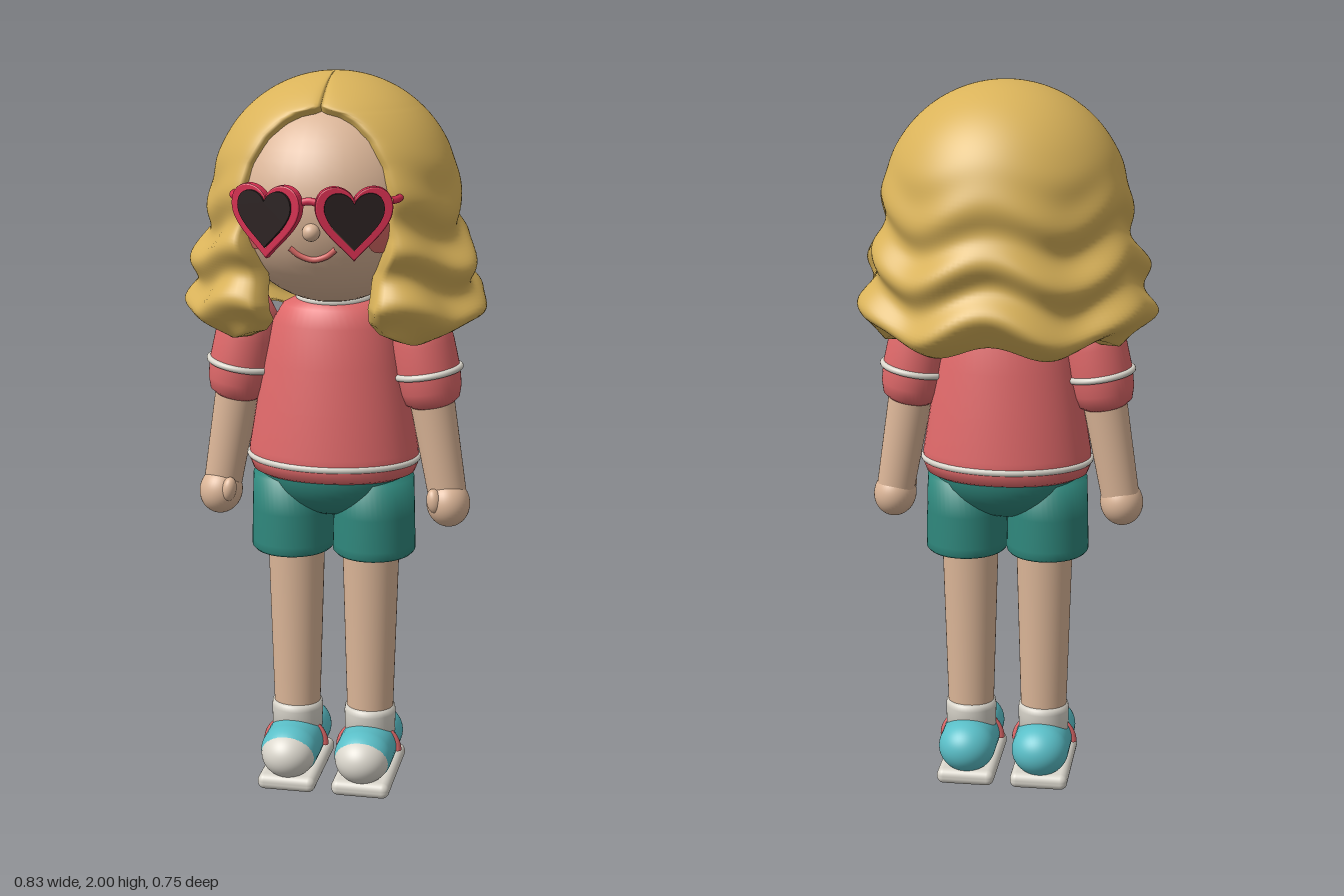
import * as THREE from 'three';
import { RoundedBoxGeometry } from 'three/addons/geometries/RoundedBoxGeometry.js';

const mat = (name, color, side = THREE.FrontSide) => {
  const m = new THREE.MeshStandardMaterial({ color, side });
  m.name = name;
  return m;
};

export function createModel() {
  const skin = mat('skin', 0xdcb698), hairMat = mat('hair', 0xdab35a, THREE.DoubleSide);
  const coral = mat('coral', 0xe0696a), green = mat('green', 0x2f877c);
  const white = mat('offWhite', 0xdad6cc), aqua = mat('aqua', 0x5abfc8);
  const red = mat('frameRed', 0xd93052), black = mat('lensBlack', 0x2a2020);
  const blush = mat('blush', 0xdb6a66);
  const model = new THREE.Group();
  model.name = 'character';

  const add = (parent, name, geo, material, pos = [0, 0, 0], scale = [1, 1, 1]) => {
    const m = new THREE.Mesh(geo, material);
    m.name = name;
    m.position.set(...pos);
    m.scale.set(...scale);
    parent.add(m);
    return m;
  };
  const lathe = (pts) => new THREE.LatheGeometry(pts.map((p) => new THREE.Vector2(...p)), 48);
  const ball = (r = 1) => new THREE.SphereGeometry(r, 40, 28);
  const ring = (r, tube) => new THREE.TorusGeometry(r, tube, 12, 56).rotateX(Math.PI / 2);
  const tube = (pts, r) => new THREE.TubeGeometry(
    new THREE.CatmullRomCurve3(pts.map((p) => new THREE.Vector3(...p))), 24, r, 10);

  // Head and face
  const HY = 1.67, HZ = 0.045, HR = 0.28;
  const faceZ = (x, y) => HZ + Math.sqrt(HR * HR - x * x - (y - HY) ** 2);
  add(model, 'head', ball(HR), skin, [0, HY, HZ]);
  add(model, 'nose', ball(0.023), skin, [0, 1.62, 0.325]);
  const smile = [-0.06, -0.035, 0, 0.035, 0.06].map((x) => {
    const y = 1.545 + 0.03 * (x / 0.06) ** 2;
    return [x, y, faceZ(x, y)];
  });
  add(model, 'mouth', tube(smile, 0.008), blush);
  for (const s of [-1, 1]) {
    const cheek = add(model, 'cheek',
      new THREE.SphereGeometry(HR + 0.003, 28, 6, 0, Math.PI * 2, 0, 0.15), blush, [0, HY, HZ]);
    const dir = new THREE.Vector3(s * 0.172, -0.07, faceZ(0.172, 1.6) - HZ).normalize();
    cheek.quaternion.setFromUnitVectors(new THREE.Vector3(0, 1, 0), dir);
  }

  add(model, 'hair', hairGeometry(), hairMat);

  // Heart sunglasses
  const heart = (k, Type = THREE.Shape) => {
    const h = new Type();
    h.moveTo(0, -0.095 * k);
    h.bezierCurveTo(-0.04 * k, -0.05 * k, -0.098 * k, -0.01 * k, -0.098 * k, 0.04 * k);
    h.bezierCurveTo(-0.098 * k, 0.105 * k, -0.02 * k, 0.105 * k, 0, 0.055 * k);
    h.bezierCurveTo(0.02 * k, 0.105 * k, 0.098 * k, 0.105 * k, 0.098 * k, 0.04 * k);
    h.bezierCurveTo(0.098 * k, -0.01 * k, 0.04 * k, -0.05 * k, 0, -0.095 * k);
    return h;
  };
  const glasses = new THREE.Group();
  glasses.name = 'sunglasses';
  model.add(glasses);
  for (const s of [-1, 1]) {
    const eye = new THREE.Group();
    eye.name = 'heartEyepiece';
    eye.position.set(s * 0.112, 1.65, 0.33);
    eye.rotation.y = s * 0.28;
    glasses.add(eye);
    const rim = heart(0.97);
    rim.holes.push(heart(0.74, THREE.Path));
    add(eye, 'heartFrame', new THREE.ExtrudeGeometry(rim, { depth: 0.016, curveSegments: 16,
      bevelThickness: 0.005, bevelSize: 0.004, bevelSegments: 2 }), red, [0, 0, -0.008]);
    add(eye, 'heartLens', new THREE.ExtrudeGeometry(heart(0.78), { depth: 0.024,
      curveSegments: 16, bevelEnabled: false }), black, [0, 0.006, -0.004]);
    add(glasses, 'temple', tube([[s * 0.2, 1.705, 0.305], [s * 0.214, 1.705, 0.28],
      [s * 0.212, 1.705, 0.2]], 0.01), red);
  }
  add(glasses, 'bridge', tube([[-0.035, 1.695, 0.347], [0, 1.703, 0.345],
    [0.035, 1.695, 0.347]], 0.01), red);

  // Torso
  const Z = 0.028;
  add(model, 'neck', new THREE.CylinderGeometry(0.08, 0.08, 0.12, 32), skin, [0, 1.4, Z]);
  add(model, 'shirt', lathe([[0, 0.905], [0.2, 0.905], [0.226, 0.917], [0.237, 0.945],
    [0.235, 0.98], [0.215, 1.1], [0.193, 1.22], [0.168, 1.33], [0.14, 1.377],
    [0.1, 1.398], [0, 1.4]]), coral, [0, 0, Z], [1, 1, 0.75]);
  add(model, 'hemStripe', ring(0.234, 0.009), white, [0, 0.955, Z], [1, 1, 0.75]);
  add(model, 'collar', ring(0.092, 0.012), white, [0, 1.395, Z], [1, 1, 0.85]);
  add(model, 'shortsSeat', ball(), green, [0, 0.93, Z], [0.205, 0.145, 0.163]);

  for (const s of [-1, 1]) {
    // Arm
    const arm = new THREE.Group();
    arm.name = s > 0 ? 'leftArm' : 'rightArm';
    arm.position.set(s * 0.235, 1.34, Z);
    arm.rotation.z = s * 0.17;
    model.add(arm);
    add(arm, 'sleeve', lathe([[0, -0.235], [0.058, -0.235], [0.076, -0.222], [0.086, -0.19],
      [0.09, -0.14], [0.086, -0.06], [0.077, 0.01], [0.045, 0.055], [0, 0.07]]), coral);
    add(arm, 'sleeveStripe', ring(0.09, 0.009), white, [0, -0.14, 0]);
    add(arm, 'forearm', new THREE.CylinderGeometry(0.062, 0.053, 0.3, 36), skin,
      [0, -0.35, 0], [1, 1, 0.92]);
    add(arm, 'hand', ball(), skin, [0, -0.515, 0.008], [0.06, 0.066, 0.066]);
    add(arm, 'thumb', ball(), skin, [-s * 0.03, -0.495, 0.05], [0.021, 0.035, 0.024]);

    // Leg
    const leg = new THREE.Group();
    leg.name = s > 0 ? 'leftLeg' : 'rightLeg';
    leg.position.set(s * 0.106, 0, 0.033);
    model.add(leg);
    add(leg, 'shortsLeg', lathe([[0, 0.682], [0.108, 0.682], [0.115, 0.69], [0.115, 0.71],
      [0.113, 0.8], [0.11, 0.9], [0, 0.93]]), green, [s * 0.009, 0, 0], [1, 1, 1.06]);
    add(leg, 'shin', new THREE.CylinderGeometry(0.081, 0.065, 0.56, 40), skin, [0, 0.46, 0],
      [1, 1, 0.94]);
    add(leg, 'sock', lathe([[0, 0.08], [0.07, 0.08], [0.073, 0.2], [0.071, 0.215],
      [0.06, 0.22], [0, 0.22]]), white);

    // Shoe
    add(leg, 'shoe', new THREE.CapsuleGeometry(0.08, 0.186, 16, 36).rotateX(Math.PI / 2), aqua,
      [0, 0.103, 0.013], [1.02, 0.93, 1]);
    add(leg, 'toeCap', new THREE.SphereGeometry(1, 36, 16, 0, Math.PI * 2, 0, Math.PI / 2)
      .rotateX(Math.PI / 2), white, [0, 0.1, 0.116], [0.078, 0.07, 0.082]);
    add(leg, 'shoeStrap', new THREE.TorusGeometry(0.084, 0.011, 10, 36, Math.PI), coral,
      [0, 0.09, 0.02], [1, 0.9, 1.1]);
    add(leg, 'sole', new RoundedBoxGeometry(0.165, 0.045, 0.31, 4, 0.02), white,
      [0, 0.0225, 0.017]);
  }
  return model;
}

// Wavy hair shell: stacked open rings, outer wall out and inner wall back
function hairGeometry() {
  const N = 140, UP = 44, LOW = 40, CY = 1.665, R = 0.335, L = 2 * (N + 1);
  const smooth = THREE.MathUtils.smoothstep, lerp = THREE.MathUtils.lerp;
  // Half width of the face opening by height
  const opening = [[1.31, 0.2], [1.35, 0.165], [1.4, 0.155], [1.5, 0.185], [1.6, 0.203],
    [1.7, 0.2], [1.78, 0.182], [1.85, 0.14], [1.89, 0.095], [1.91, 0.055], [1.922, 0]];
  const halfOpen = (y) => {
    if (y >= 1.922) return 0;
    const i = Math.max(1, opening.findIndex((p) => p[0] > y));
    const [a, b] = [opening[i - 1], opening[i]];
    return lerp(a[1], b[1], Math.max(0, (y - a[0]) / (b[0] - a[0])));
  };
  const pos = [], index = [];
  const rows = UP + LOW + 1;
  for (let r = 0; r < rows; r++) {
    const upper = r <= UP, phi = (r / UP) * Math.PI / 2;
    const k = upper ? 0 : (r - UP) / LOW;
    const y = upper ? CY + R * Math.cos(phi) : CY - 0.345 * k;
    const base = upper ? R * Math.sin(phi) : R;
    const curl = 0.05 * Math.max(0, (k - 0.8) / 0.2) ** 2.5;
    const rx = base + 0.06 * smooth(k, 0, 0.8) - curl;
    const back = base + 0.028 * smooth(k, 0, 0.8) - curl;
    const front = base - 0.035 * smooth(k, 0, 0.8) - curl * 0.5;
    const a = base < 0.01 ? 0 : Math.asin(Math.min(0.95, halfOpen(y) / rx));
    const amp = 0.019 * (1 - smooth(y, 1.45, 1.84));
    const outer = [], inner = [];
    for (let i = 0; i <= N; i++) {
      const t = lerp(a, 2 * Math.PI - a, i / N), c = Math.cos(t);
      const edge = Math.min(t - a, 2 * Math.PI - a - t);
      const wave = amp * (Math.cos(2 * Math.PI * (y - 1.535) / 0.15 + 1.5 * Math.cos(5 * t))
        + 0.35 * Math.cos(9 * t));
      const d = wave - 0.012 * Math.exp(-edge / 0.06) * Math.min(1, base / 0.15);
      const rz = lerp(back, front, (1 + c) / 2);
      const x = (rx + d) * Math.sin(t), z = (rz + d) * c;
      const yy = y - 0.018 * k * k * Math.cos(7 * t);
      outer.push([x, yy, z]);
      inner.push([x * 0.84, upper ? CY + (yy - CY) * 0.84 : yy, z * 0.84]);
    }
    pos.push(...outer.flat(), ...inner.reverse().flat());
  }
  const quad = (p, q, s, t) => index.push(p, q, s, p, s, t);
  for (let r = 0; r < rows - 1; r++) {
    for (let i = 0; i < L; i++) {
      const j = (i + 1) % L;
      quad(r * L + i, (r + 1) * L + i, (r + 1) * L + j, r * L + j);
    }
  }
  // Underside
  const b = (rows - 1) * L;
  for (let i = 0; i < N; i++) quad(b + i, b + L - 1 - i, b + L - 2 - i, b + i + 1);
  const g = new THREE.BufferGeometry();
  g.setAttribute('position', new THREE.Float32BufferAttribute(pos, 3));
  g.setIndex(index);
  g.computeVertexNormals();
  return g;
}
